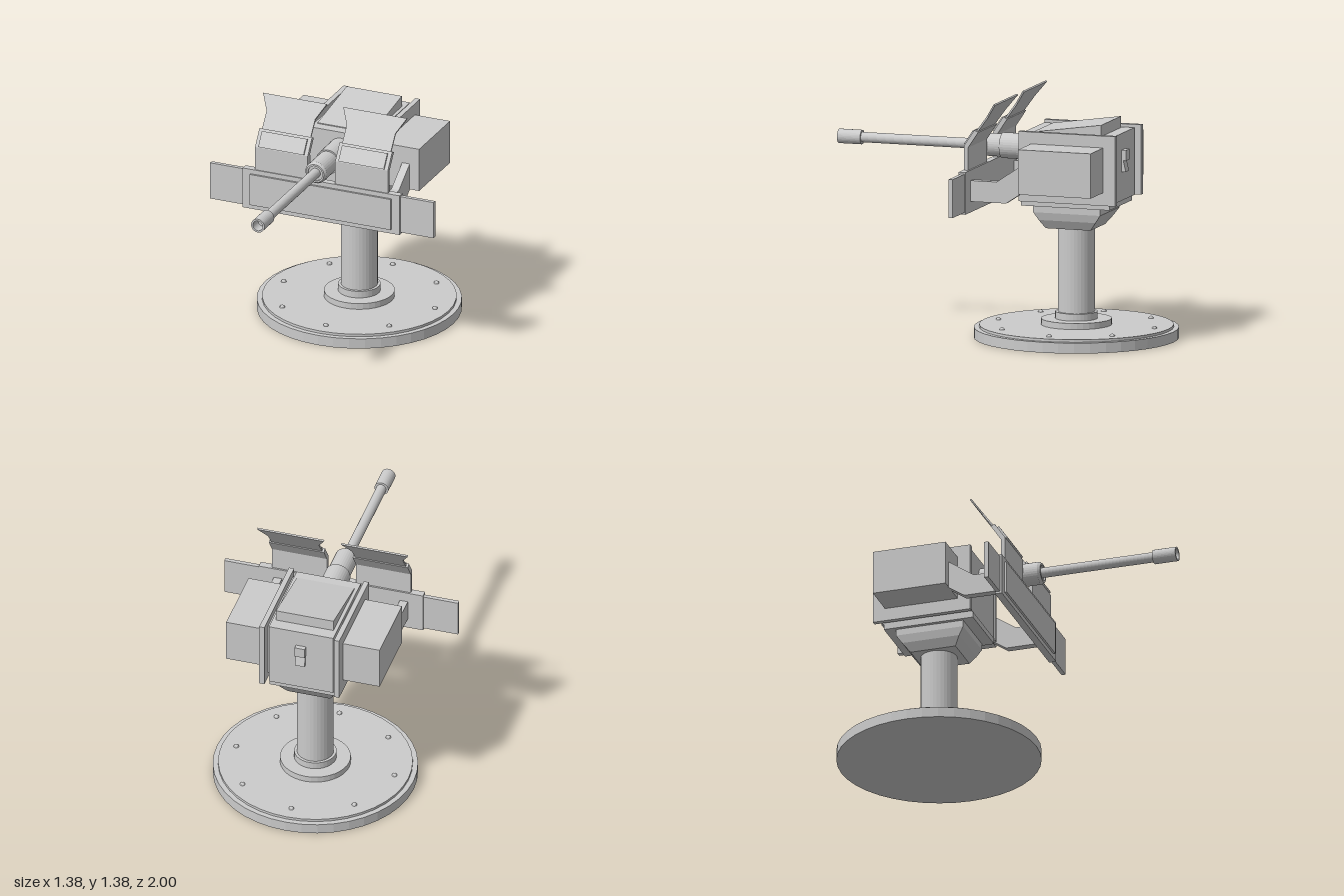
import * as THREE from 'three';

const Z = -0.42; // pedestal axis
const mat = new THREE.MeshStandardMaterial({ color: 0xcccccc, flatShading: true, side: THREE.DoubleSide });

export function createModel() {
  const root = new THREE.Group();
  const add = (name, geo) => {
    const m = new THREE.Mesh(geo, mat);
    m.name = name;
    root.add(m);
    return m;
  };
  // Box given by its minimum and maximum on each axis
  const box = (name, x0, x1, y0, y1, z0, z1) =>
    add(name, new THREE.BoxGeometry(x1 - x0, y1 - y0, z1 - z0)
      .translate((x0 + x1) / 2, (y0 + y1) / 2, (z0 + z1) / 2));
  const both = (name, x0, x1, ...r) => {
    box(name + 'Left', x0, x1, ...r);
    box(name + 'Right', -x1, -x0, ...r);
  };
  const lathe = (pts, n) => new THREE.LatheGeometry(pts.map(p => new THREE.Vector2(...p)), n);
  // Side profile of [z, y] points, extruded across x
  const profile = (name, pts, x0, x1) => {
    const s = new THREE.Shape(pts.map(([z, y]) => new THREE.Vector2(-z, y)));
    const g = new THREE.ExtrudeGeometry(s, { depth: x1 - x0, bevelEnabled: false });
    return add(name, g.rotateY(Math.PI / 2).translate(x0, 0, 0));
  };

  // Stepped round base and column
  add('base', lathe([[0, 0], [0.58, 0], [0.58, 0.06], [0.55, 0.06], [0.55, 0.075], [0, 0.075]], 40).translate(0, 0, Z));
  add('columnFlange', lathe([[0.2, 0.07], [0.2, 0.11], [0.12, 0.11], [0.12, 0.15], [0.1, 0.15]], 36).translate(0, 0, Z));
  add('column', new THREE.CylinderGeometry(0.104, 0.104, 0.57, 32).translate(0, 0.365, Z));
  for (let i = 0; i < 8; i++) {
    const a = (i * Math.PI) / 4;
    add('baseBolt', new THREE.SphereGeometry(0.016, 10, 6)
      .translate(0.467 * Math.cos(a), 0.073, Z + 0.467 * Math.sin(a)));
  }

  // Tapered rectangular neck from stacked cross-sections
  const rings = [
    [0.635, 0.125, -0.28, -0.548],
    [0.685, 0.155, -0.248, -0.588],
    [0.73, 0.168, -0.22, -0.62],
    [0.77, 0.168, -0.22, -0.62],
  ];
  const pos = [], idx = [];
  rings.forEach(([y, x, f, b]) => pos.push(-x, y, f, x, y, f, x, y, b, -x, y, b));
  for (let r = 0; r < rings.length - 1; r++) for (let i = 0; i < 4; i++) {
    const a = r * 4 + i, b = r * 4 + ((i + 1) % 4);
    idx.push(a, b, b + 4, a, b + 4, a + 4);
  }
  const top = (rings.length - 1) * 4;
  idx.push(0, 2, 1, 0, 3, 2, top, top + 1, top + 2, top, top + 2, top + 3);
  const neck = new THREE.BufferGeometry();
  neck.setAttribute('position', new THREE.Float32BufferAttribute(pos, 3));
  neck.setIndex(idx);
  const neckFlat = neck.toNonIndexed();
  neckFlat.computeVertexNormals();
  add('neck', neckFlat);

  // Housing with side plates and ammunition boxes
  box('bottomPlate', -0.19, 0.19, 0.768, 0.802, -0.685, -0.155);
  box('housing', -0.19, 0.19, 0.8, 1.185, -0.7, -0.16);
  box('housingCore', -0.207, 0.207, 0.83, 1.16, -0.66, -0.18);
  both('sidePlate', 0.206, 0.236, 0.8, 1.2, -0.735, -0.155);
  both('sideBox', 0.23, 0.453, 0.875, 1.132, -0.663, -0.23);
  profile('roofWedge', [[-0.22, 1.18], [-0.22, 1.19], [-0.628, 1.25], [-0.628, 1.18]], -0.17, 0.17);
  box('rearLatch', -0.03, 0.03, 1.03, 1.09, -0.727, -0.69);
  profile('rearLatchLever', [[-0.69, 1.03], [-0.71, 1.03], [-0.725, 0.965], [-0.69, 0.965]], -0.028, 0.028);

  // Arms carrying the shield
  const arm = [[0.085, 0.93], [-0.08, 0.93], [-0.235, 1.035], [-0.235, 0.875], [-0.137, 0.81], [0.085, 0.81]];
  profile('armLeft', arm, 0.348, 0.395);
  profile('armRight', arm, -0.395, -0.348);

  // Lower shield
  box('shieldPanel', -0.485, 0.485, 0.748, 0.99, 0.075, 0.116);
  box('shieldInset', -0.435, 0.435, 0.775, 0.963, 0.11, 0.128);
  both('shieldWing', 0.47, 0.69, 0.76, 0.98, 0.08, 0.104);

  // Upper shields: bent plate, raised panel and flared top
  const tilt = Math.atan2(0.12, 0.165);
  const bent = [[0.11, 0.98], [0.11, 1.13], [0.048, 1.222], [0.025, 1.21], [0.085, 1.12], [0.085, 0.98]];
  const raised = [[0.118, 1.137], [0.066, 1.215], [0.05, 1.205], [0.1, 1.13]];
  const flare = new THREE.Shape([[-0.15, 0], [0.15, 0], [0.15, 0.11], [0.197, 0.208], [-0.197, 0.208], [-0.15, 0.11]]
    .map(p => new THREE.Vector2(...p)));
  for (const [side, s] of [['Left', 1], ['Right', -1]]) {
    const c = s * 0.2475;
    profile('upperShield' + side, bent, c - 0.1625, c + 0.1625);
    profile('upperShieldPanel' + side, raised, c - 0.14, c + 0.14);
    add('shieldFlare' + side, new THREE.ExtrudeGeometry(flare, { depth: 0.01, bevelEnabled: false })
      .rotateX(-tilt).translate(c, 1.208, 0.034));
  }

  // Gun: sleeve, collar, barrel and hollow muzzle turned as one profile
  add('gun', lathe([
    [0, -0.17], [0.073, -0.17], [0.073, 0.02], [0.065, 0.02], [0.065, 0.185], [0.055, 0.2], [0.045, 0.2], [0.045, 0.19],
    [0.029, 0.19], [0.029, 0.862], [0.041, 0.862], [0.041, 1], [0.03, 1], [0.03, 0.93], [0, 0.93],
  ], 32).rotateX(Math.PI / 2).translate(0, 1.075, 0));

  return root;
}
